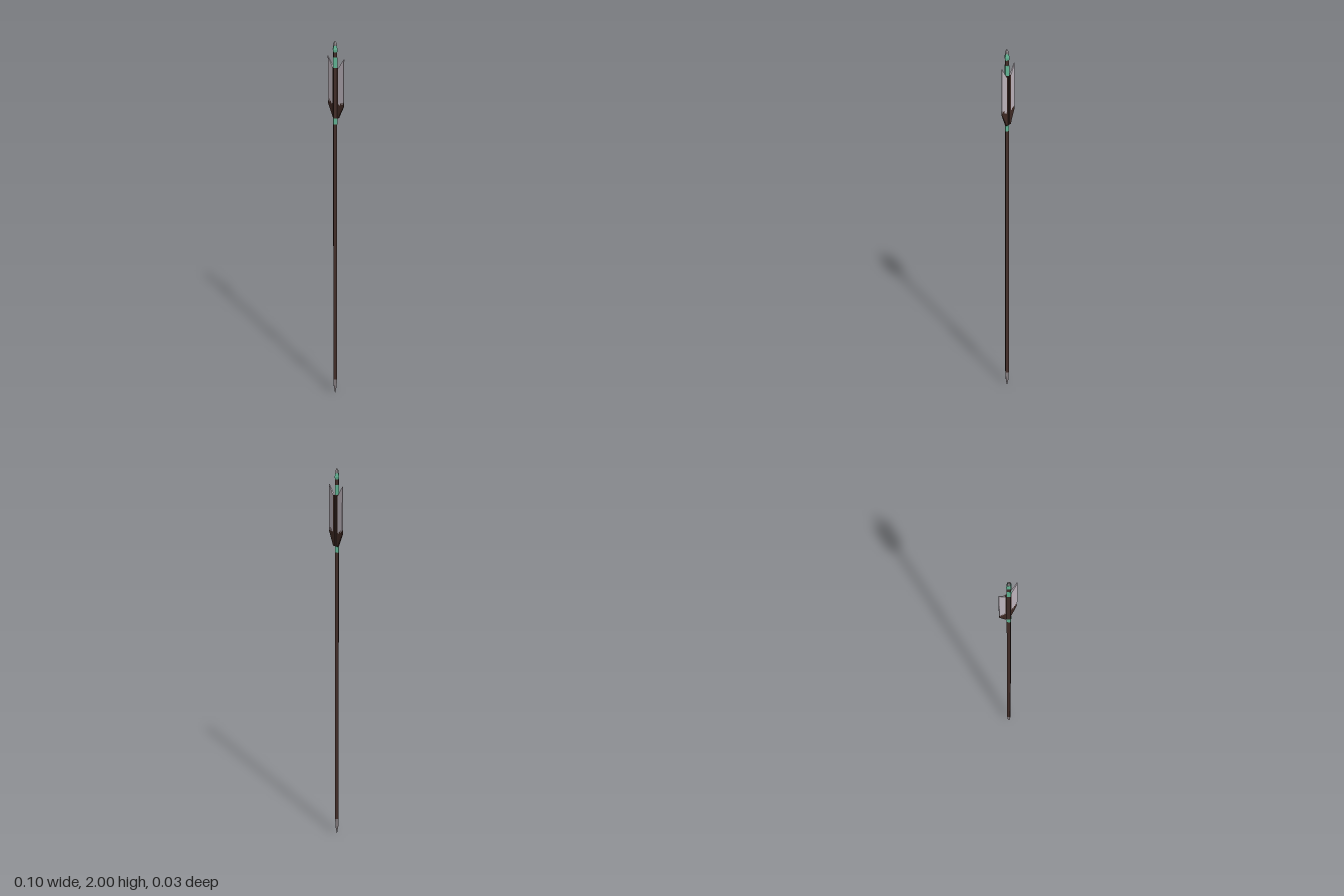
import * as THREE from 'three';

const material = (name, color, extra = {}) => {
  const m = new THREE.MeshStandardMaterial({ color, ...extra });
  m.name = name;
  return m;
};

export function createModel() {
  const group = new THREE.Group();
  const wood = material('darkWood', 0x432e29, { flatShading: true });
  const green = material('greenBinding', 0x62b695, { flatShading: true });
  const metal = material('greyMetal', 0x857d80, { flatShading: true });
  const feather = material('paleFeather', 0xbdb4bc, { flatShading: true });
  const darkFeather = material('darkFeather', 0x3e2923, { flatShading: true });

  // Four-sided diamond section between two heights
  function section(name, mat, y0, y1, r0, r1 = r0) {
    const mesh = new THREE.Mesh(new THREE.CylinderGeometry(r1, r0, y1 - y0, 4), mat);
    mesh.position.y = (y0 + y1) / 2;
    mesh.scale.z = 0.93;
    mesh.name = name;
    group.add(mesh);
  }

  // Point, shaft and bindings
  section('pointTip', metal, 0, 0.05, 0.001, 0.012);
  section('pointSocket', metal, 0.05, 0.095, 0.012, 0.013);
  section('shaft', wood, 0.095, 1.95, 0.013);
  section('lowerBinding', green, 1.59, 1.622, 0.0142);
  section('upperBinding', green, 1.875, 1.925, 0.0142);

  // Nock with a bulging green collar
  section('collarBottom', green, 1.945, 1.962, 0.012, 0.0155);
  section('collarTop', green, 1.962, 1.98, 0.0155, 0.012);
  section('nock', metal, 1.975, 1.993, 0.011, 0.009);
  section('nockTip', metal, 1.993, 2, 0.009, 0.005);

  // Vane plate, thinner towards its outer edge
  function vane(name, side, points, mat) {
    const shape = new THREE.Shape(points.map(([x, y]) => new THREE.Vector2(side * x, y)));
    const geometry = new THREE.ExtrudeGeometry(shape, { depth: 1, bevelEnabled: false });
    const p = geometry.attributes.position;
    for (let i = 0; i < p.count; i++) {
      const t = THREE.MathUtils.clamp((Math.abs(p.getX(i)) - 0.017) / 0.034, 0, 1);
      p.setZ(i, -0.006 + (p.getZ(i) - 0.5) * THREE.MathUtils.lerp(0.009, 0.004, t));
    }
    geometry.computeVertexNormals();
    const mesh = new THREE.Mesh(geometry, mat);
    mesh.name = name;
    group.add(mesh);
  }

  // Jagged border between pale and dark parts of a vane
  const jag = [[0.051, 1.71], [0.046, 1.695], [0.042, 1.713], [0.037, 1.693],
    [0.032, 1.707], [0.027, 1.687], [0.022, 1.698], [0.017, 1.685]];
  for (const [side, label] of [[1, 'left'], [-1, 'right']]) {
    vane(label + 'Vane', side, [[0.017, 1.872], [0.051, 1.922], ...jag], feather);
    vane(label + 'VaneBase', side, [...jag, [0.017, 1.622], [0.051, 1.688]], darkFeather);
    vane(label + 'VaneQuill', side, [[0.006, 1.622], [0.017, 1.622], [0.017, 1.872], [0.006, 1.872]], darkFeather);
  }
  return group;
}
